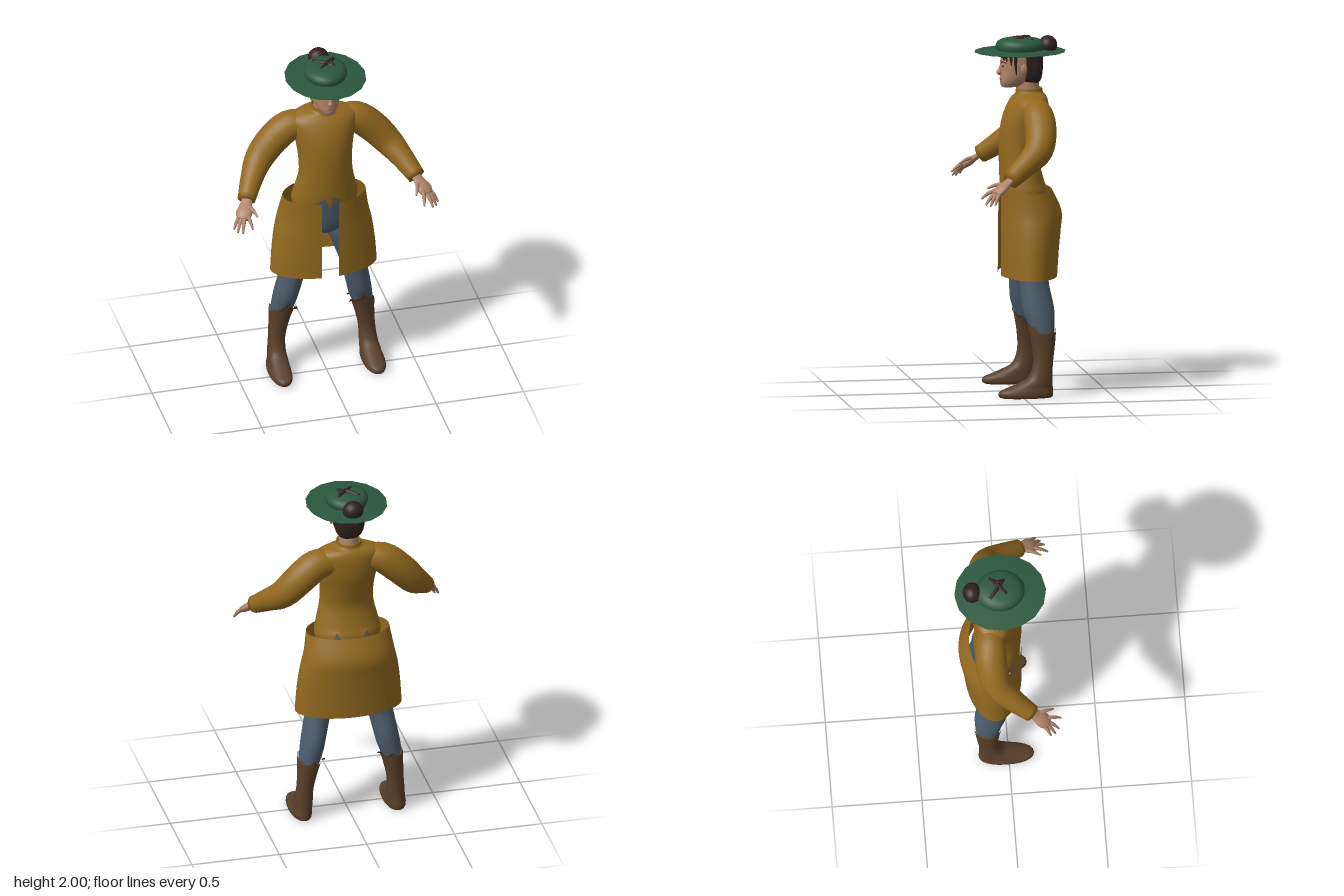
import * as THREE from 'three';

const mat = (name, color, side = THREE.FrontSide) => {
  const m = new THREE.MeshStandardMaterial({ color, side });
  m.name = name;
  return m;
};

// Smooth interpolation through rows of numbers, t in 0..1
function spline(rows, t) {
  const n = rows.length - 1, k = Math.min(n - 1, Math.floor(t * n)), f = t * n - k;
  const at = i => rows[Math.max(0, Math.min(n, i))];
  return rows[0].map((_, c) => {
    const a = at(k - 1)[c], b = at(k)[c], d = at(k + 1)[c], e = at(k + 2)[c];
    const m0 = (d - a) / 2, m1 = (e - b) / 2;
    return b + f * (m0 + f * (3 * (d - b) - 2 * m0 - m1 + f * (2 * (b - d) + m0 + m1)));
  });
}

// Surface from point(i, j): i runs around, j along; s = -1 mirrors in x
function surface(name, material, nu, nv, point, s = 1, closed = true) {
  const pos = [], idx = [], w = closed ? nu : nu + 1;
  for (let j = 0; j <= nv; j++) for (let i = 0; i < w; i++) {
    const [x, y, z] = point(i, j);
    pos.push(x * s, y, z);
  }
  for (let j = 0; j < nv; j++) for (let i = 0; i < nu; i++) {
    const a = j * w + i, b = j * w + (i + 1) % w, c = a + w, d = b + w;
    if (s > 0) idx.push(a, b, c, b, d, c);
    else idx.push(a, c, b, b, c, d);
  }
  const g = new THREE.BufferGeometry();
  g.setAttribute('position', new THREE.Float32BufferAttribute(pos, 3));
  g.setIndex(idx);
  g.computeVertexNormals();
  const mesh = new THREE.Mesh(g, material);
  mesh.name = name;
  return mesh;
}

// Upright body from level slices [y, centreX, halfWidth, zFront, zBack], bottom to top
function body(name, material, rows, { n = 32, s = 1, p = 1, trim = (i, y) => y } = {}) {
  const nv = (rows.length - 1) * 4, pw = v => Math.sign(v) * Math.abs(v) ** p;
  return surface(name, material, n, nv, (i, j) => {
    const [y, cx, rx, zf, zb] = spline(rows, j / nv), th = i / n * Math.PI * 2;
    return [cx + rx * pw(Math.sin(th)), trim(i, y), (zf + zb) / 2 + (zf - zb) / 2 * pw(Math.cos(th))];
  }, s);
}

// Round limb through points [x, y, z, radius], closed at both ends
function limb(name, material, rows, { n = 10, s = 1, flat = 1, steps = 4 } = {}) {
  const nv = (rows.length - 1) * steps;
  const v = t => new THREE.Vector3(...spline(rows, Math.max(0, Math.min(1, t))));
  const steep = Math.abs(v(1).sub(v(0)).normalize().y) > 0.9;
  const ref = steep ? new THREE.Vector3(0, 0, 1) : new THREE.Vector3(0, 1, 0);
  return surface(name, material, n, nv + 2, (i, j) => {
    const t = Math.max(0, Math.min(1, (j - 1) / nv));
    const r = j === 0 || j === nv + 2 ? 0 : spline(rows, t)[3];
    const dir = v(t + 0.02).sub(v(t - 0.02)).normalize();
    const a = ref.clone().cross(dir).normalize(), b = dir.clone().cross(a);
    const th = i / n * Math.PI * 2;
    return v(t).addScaledVector(a, r * Math.cos(th)).addScaledVector(b, r * flat * Math.sin(th)).toArray();
  }, s);
}

export function createModel() {
  const root = new THREE.Group();
  root.name = 'figure';
  const cloth = mat('ochre cloth', 0x93691f, THREE.DoubleSide);
  const denim = mat('blue grey trousers', 0x4c5d6c);
  const leather = mat('brown leather', 0x5a402a);
  const skin = mat('skin', 0xb08468);
  const lip = mat('lips', 0x8f5f4e);
  const hair = mat('dark hair', 0x30211f);
  const felt = mat('green felt', 0x2a573c, THREE.DoubleSide);
  const add = (...m) => root.add(...m);
  const ball = (name, m, r, p, sc) => {
    const b = new THREE.Mesh(new THREE.SphereGeometry(r, 24, 16), m);
    b.name = name;
    b.position.set(...p);
    b.scale.set(...sc);
    add(b);
  };

  // Tunic with a notched hem
  const hem = { 1: 1.17, 39: 1.17, 2: 1.15, 38: 1.15, 17: 1.165, 23: 1.165 };
  add(body('tunic', cloth, [
    [1.1, 0, 0.185, 0.08, -0.177], [1.14, 0, 0.188, 0.082, -0.175], [1.2, 0, 0.174, 0.086, -0.155],
    [1.3, 0, 0.152, 0.09, -0.135], [1.4, 0, 0.152, 0.09, -0.155], [1.5, 0, 0.165, 0.08, -0.18],
    [1.58, 0, 0.185, 0.055, -0.185], [1.635, 0, 0.19, 0.025, -0.18], [1.665, 0, 0.14, 0.0, -0.168],
    [1.68, 0, 0.076, -0.003, -0.155], [1.705, 0, 0.068, -0.006, -0.15], [1.7, 0, 0.058, -0.015, -0.14],
  ], { n: 40, trim: (i, y) => Math.max(y, hem[i] || 0) }));

  // Wrap skirt, open down the front
  const skirt = [[0.66, 0.303, 0.09, -0.228], [0.8, 0.293, 0.09, -0.238], [0.92, 0.277, 0.09, -0.25],
    [1.02, 0.255, 0.09, -0.255], [1.14, 0.235, 0.09, -0.2]];
  add(surface('skirt', cloth, 48, 16, (i, j) => {
    const [y, rx, zf, zb] = spline(skirt, j / 16), gap = Math.asin(0.048 / rx);
    const th = gap + i / 48 * (Math.PI * 2 - gap * 2);
    return [rx * Math.sin(th), y, (zf + zb) / 2 + (zf - zb) / 2 * Math.cos(th)];
  }, 1, false));

  // Trouser seat
  add(body('trouserSeat', denim, [
    [0.91, 0, 0.05, 0.02, -0.1], [0.94, 0, 0.13, 0.045, -0.17], [1.0, 0, 0.175, 0.06, -0.19],
    [1.08, 0, 0.18, 0.07, -0.18], [1.14, 0, 0.182, 0.076, -0.17], [1.2, 0, 0.166, 0.078, -0.147],
  ], { n: 40 }));

  for (const s of [1, -1]) {
    const side = s > 0 ? 'left' : 'right';
    // Legs and boots
    add(body(side + 'TrouserLeg', denim, [
      [0.34, 0.238, 0.055, -0.05, -0.18], [0.42, 0.22, 0.066, -0.03, -0.184], [0.5, 0.204, 0.069, -0.005, -0.183],
      [0.65, 0.172, 0.073, 0.008, -0.157], [0.8, 0.135, 0.088, 0.033, -0.165],
      [0.9, 0.108, 0.095, 0.045, -0.175], [1.0, 0.095, 0.08, 0.048, -0.18],
    ], { s, n: 24 }));
    const cuff = i => 0.365 + 0.06 * Math.max(0, Math.cos(i / 24 * Math.PI * 2)) ** 2 + (i % 4 === 0 ? 0.02 : 0);
    add(body(side + 'Boot', leather, [
      [0.004, 0.268, 0.002, 0.0, -0.02], [0.004, 0.268, 0.05, 0.115, -0.15], [0.02, 0.268, 0.062, 0.14, -0.166],
      [0.042, 0.267, 0.061, 0.132, -0.168], [0.06, 0.265, 0.057, 0.09, -0.166], [0.085, 0.264, 0.054, 0.03, -0.165],
      [0.12, 0.262, 0.05, -0.03, -0.164], [0.2, 0.257, 0.047, -0.056, -0.168], [0.3, 0.244, 0.056, -0.05, -0.181],
      [0.38, 0.231, 0.068, -0.036, -0.189], [0.45, 0.217, 0.073, -0.02, -0.19],
    ], { s, n: 24, p: 0.9, trim: (i, y) => Math.min(y, cuff(i)) }));

    // Sleeve
    add(limb(side + 'Sleeve', cloth, [
      [0.09, 1.585, -0.09, 0.07], [0.19, 1.575, -0.095, 0.086], [0.285, 1.498, -0.095, 0.088],
      [0.368, 1.405, -0.068, 0.08], [0.43, 1.335, 0.012, 0.064], [0.488, 1.26, 0.112, 0.05],
    ], { s, n: 24 }));

    // Hand
    add(limb(side + 'Palm', skin, [
      [0.478, 1.27, 0.1, 0.03], [0.497, 1.243, 0.135, 0.034], [0.515, 1.215, 0.17, 0.046], [0.53, 1.19, 0.2, 0.036],
    ], { s, n: 14, flat: 0.5 }));
    const fingers = [
      ['Thumb', [0.485, 1.24, 0.15], [0.455, 1.215, 0.235]], ['Index', [0.503, 1.21, 0.2], [0.492, 1.163, 0.275]],
      ['Middle', [0.522, 1.198, 0.2], [0.545, 1.135, 0.26]], ['Ring', [0.537, 1.195, 0.193], [0.57, 1.13, 0.238]],
      ['Little', [0.547, 1.197, 0.18], [0.585, 1.14, 0.212]],
    ];
    for (const [f, a, b] of fingers) {
      const mid = a.map((v, k) => (v + b[k]) / 2 + (k === 1 ? 0.008 : 0));
      add(limb(side + f, skin, [[...a, 0.012], [...mid, 0.0105], [...b, 0.005]], { s, n: 8, steps: 3 }));
    }

    // Ear, eye and brow
    ball(side + 'Ear', skin, 0.022, [s * 0.09, 1.82, -0.035], [0.4, 1.3, 0.8]);
    ball(side + 'Eye', hair, 0.014, [s * 0.034, 1.832, 0.074], [1, 0.25, 0.3]);
    add(limb(side + 'Brow', hair, [[0.014, 1.85, 0.081, 0.002], [0.034, 1.857, 0.075, 0.003], [0.055, 1.85, 0.058, 0.002]], { s, n: 6 }));
  }

  // Neck, head and face
  add(body('neck', skin, [[1.65, 0, 0.058, -0.015, -0.14], [1.71, 0, 0.054, -0.015, -0.135], [1.78, 0, 0.055, -0.01, -0.125]]));
  add(body('head', skin, [
    [1.71, 0, 0.003, 0.055, 0.04], [1.714, 0, 0.035, 0.077, -0.02], [1.74, 0, 0.057, 0.086, -0.075],
    [1.77, 0, 0.072, 0.084, -0.11], [1.81, 0, 0.081, 0.082, -0.13], [1.86, 0, 0.086, 0.083, -0.135],
    [1.92, 0, 0.083, 0.068, -0.13], [1.95, 0, 0.05, 0.03, -0.09],
  ]));
  add(limb('nose', skin, [[0, 1.84, 0.076, 0.007], [0, 1.81, 0.086, 0.011], [0, 1.793, 0.09, 0.016], [0, 1.783, 0.083, 0.008]]));
  ball('lips', lip, 0.022, [0, 1.758, 0.083], [1, 0.3, 0.25]);

  // Hair at the back, bun and loose locks
  add(body('backHair', hair, [
    [1.735, 0, 0.045, -0.04, -0.13], [1.755, 0, 0.068, -0.03, -0.142], [1.8, 0, 0.083, -0.025, -0.15],
    [1.87, 0, 0.09, -0.02, -0.152], [1.92, 0, 0.088, -0.01, -0.148], [1.94, 0, 0.05, -0.03, -0.12],
  ], { p: 0.65 }));
  ball('bun', hair, 0.058, [0, 1.94, -0.184], [1, 0.93, 0.9]);
  const locks = [[-0.1, 0, 1.86], [-0.092, 0.025, 1.8], [-0.08, 0.045, 1.865], [-0.058, 0.066, 1.88], [-0.03, 0.082, 1.885],
    [0.0, 0.085, 1.893], [0.03, 0.08, 1.88], [0.05, 0.07, 1.865], [0.068, 0.058, 1.86], [0.087, 0.035, 1.84], [0.095, 0.01, 1.79]];
  for (const [x, z, y] of locks) {
    add(limb('hairLock', hair, [[x * 0.92, 1.915, z, 0.012], [x, (y + 1.915) / 2, z + 0.004, 0.009], [x * 1.03, y, z, 0.002]], { n: 6, steps: 3 }));
  }

  // Hat: wide faceted brim and domed crown
  const hatPart = (name, pts, n) => {
    const m = new THREE.Mesh(new THREE.LatheGeometry(pts.map(p => new THREE.Vector2(...p)), n), felt);
    m.name = name;
    m.position.z = -0.027;
    m.scale.z = 1.13;
    add(m);
  };
  hatPart('hatBrim', [[0.09, 1.908], [0.226, 1.909], [0.226, 1.911], [0.1, 1.92]], 16);
  hatPart('hatCrown', [[0.108, 1.912], [0.117, 1.925], [0.121, 1.943], [0.114, 1.963], [0.095, 1.977], [0.06, 1.985], [0, 1.988]], 32);

  // Crossed locks of hair on top of the crown
  const crossed = [[-0.058, -0.088, 0.05, 0.0], [0.06, -0.085, -0.036, 0.008], [0.052, -0.065, -0.02, -0.005], [0.02, -0.06, 0.045, -0.012]];
  for (const [x0, z0, x1, z1] of crossed) {
    add(limb('crownLock', hair, [[x0, 1.978, z0, 0.01], [(x0 + x1) / 2, 1.987, (z0 + z1) / 2, 0.012], [x1, 1.98, z1, 0.008]], { n: 8 }));
  }
  return root;
}
